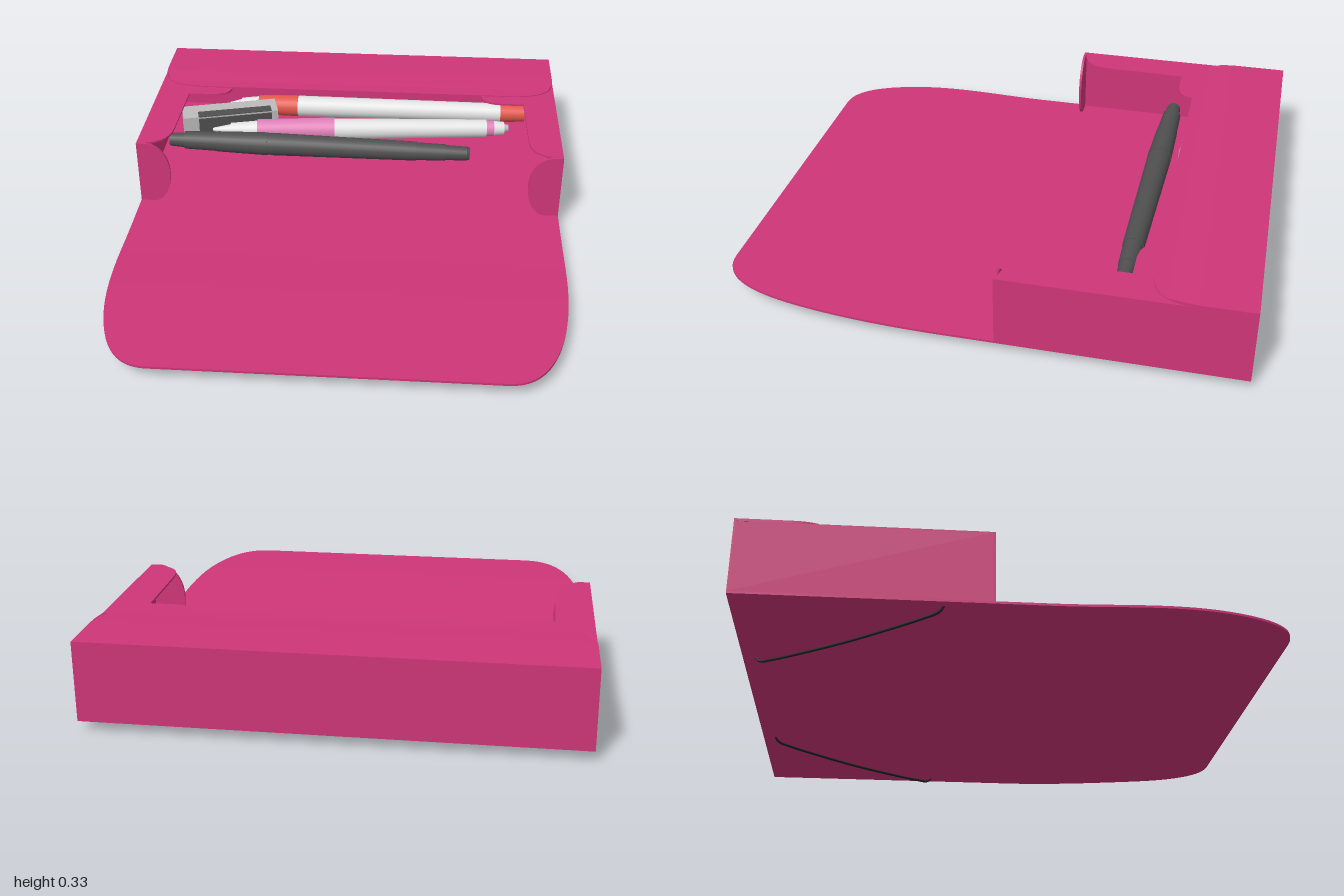
import * as THREE from 'three';

const mat = (name, color, double = false) => {
  const m = new THREE.MeshStandardMaterial({ color });
  m.name = name;
  if (double) m.side = THREE.DoubleSide;
  return m;
};

export function createModel() {
  const root = new THREE.Group();
  root.name = 'pencilCase';
  const fabric = mat('magenta fabric', 0xcf3678);
  const elastic = mat('black elastic', 0x1a2224);
  const charcoal = mat('charcoal', 0x505050);
  const white = mat('white plastic', 0xe2e2e2);
  const pink = mat('pink grip', 0xdf7fb8);
  const red = mat('red grip', 0xe2584c);
  const grey = mat('light grey metal', 0xbcbcbc);

  const add = (name, geo, material, parent = root) => {
    const m = new THREE.Mesh(geo, material);
    m.name = name;
    parent.add(m);
    return m;
  };
  const box = (name, w, h, d, x, y, z, material = fabric, parent = root) => {
    const m = add(name, new THREE.BoxGeometry(w, h, d), material, parent);
    m.position.set(x, y, z);
    return m;
  };

  const W = 0.885;

  // Base sheet running into the open flap, with rounded corners and a lifted lip
  const sheet = new THREE.BoxGeometry(2, 1, 1, 6, 1, 64);
  const p = sheet.attributes.position;
  for (let i = 0; i < p.count; i++) {
    const t = p.getZ(i) + 0.5;
    const z = -1 + 2 * Math.sin(t * Math.PI / 2);
    const u = Math.min(1, Math.max(0, (z - 0.25) / 0.75));
    const w = 0.62 + (W - 0.62) * Math.pow(Math.max(0, 1 - Math.pow(u, 2.5)), 0.4);
    const s = Math.min(1, Math.max(0, (z - 0.1) / 0.6));
    const lift = 0.016 * s * s * (3 - 2 * s);
    p.setXYZ(i, p.getX(i) * w, 0.0465 + lift + p.getY(i) * 0.009, z);
  }
  sheet.computeVertexNormals();
  add('baseAndFlap', sheet, fabric);

  // Back and side walls
  box('backWall', 2 * W, 0.28, 0.01, 0, 0.19, -0.995);
  for (const s of [-1, 1]) {
    box('sideWall', 0.01, 0.276, 0.9, s * (W - 0.005), 0.188, -0.55);
  }

  // Flat panel from a plan outline (x, z), lying between two heights
  const panel = (name, shape, y, thickness) => {
    const g = new THREE.ExtrudeGeometry(shape, { depth: thickness, bevelEnabled: false, curveSegments: 12 });
    g.rotateX(Math.PI / 2).translate(0, y, 0);
    return add(name, g, fabric);
  };

  // Rear top panel with rounded front corners
  const rear = new THREE.Shape();
  rear.moveTo(-W, -1);
  rear.lineTo(W, -1);
  rear.lineTo(W, -0.8);
  rear.bezierCurveTo(W, -0.66, 0.82, -0.625, 0.66, -0.625);
  rear.lineTo(-0.66, -0.625);
  rear.bezierCurveTo(-0.82, -0.625, -W, -0.66, -W, -0.8);
  const rearPanel = panel('rearTopPanel', rear, 0.337, 0.01);
  const rp = rearPanel.geometry.attributes.position;
  for (let i = 0; i < rp.count; i++) {
    if (rp.getZ(i) > -0.7) rp.setY(i, rp.getY(i) - 0.006);
  }
  rearPanel.geometry.computeVertexNormals();

  for (const s of [-1, 1]) {
    // Side strip of the top with its curved cutout
    const strip = new THREE.Shape();
    strip.moveTo(s * W, -0.95);
    strip.lineTo(s * W, -0.1);
    strip.bezierCurveTo(s * 0.78, -0.115, s * 0.75, -0.15, s * 0.75, -0.25);
    strip.lineTo(s * 0.745, -0.558);
    strip.lineTo(s * 0.66, -0.558);
    strip.bezierCurveTo(s * 0.59, -0.56, s * 0.56, -0.58, s * 0.56, -0.63);
    strip.lineTo(s * 0.56, -0.95);
    panel('sideTopStrip', strip, 0.327, 0.008);

    // Rounded front tab
    const tab = new THREE.Shape();
    tab.moveTo(s * W, 0.05);
    tab.lineTo(s * W, 0.327);
    tab.lineTo(s * 0.84, 0.327);
    tab.bezierCurveTo(s * 0.78, 0.315, s * 0.75, 0.26, s * 0.75, 0.19);
    tab.bezierCurveTo(s * 0.75, 0.12, s * 0.775, 0.065, s * 0.82, 0.05);
    const tg = new THREE.ExtrudeGeometry(tab, { depth: 0.01, bevelEnabled: false, curveSegments: 12 });
    add('frontTab', tg.translate(0, 0, -0.104), fabric);

    // Diagonal elastic corner strap underneath
    const a = new THREE.Vector3(s * 0.85, 0.044, -0.27);
    const b = new THREE.Vector3(s * 0.39, 0.044, -0.95);
    const pts = [[0, 0], [0.02, 0.018], [0.1, 0.026], [0.3, 0.033], [0.5, 0.036],
      [0.7, 0.033], [0.9, 0.026], [0.98, 0.018], [1, 0]].map(([t, drop]) => {
      const v = a.clone().lerp(b, t);
      v.y -= drop;
      return v;
    });
    add('elasticStrap', new THREE.TubeGeometry(new THREE.CatmullRomCurve3(pts), 48, 0.005, 8), elastic);
  }

  // Pen made of round sections [end fraction, start radius, end radius, material]
  const pen = (name, from, to, sections) => {
    const g = new THREE.Group();
    g.name = name;
    const a = new THREE.Vector3(...from);
    const dir = new THREE.Vector3(...to).sub(a);
    const len = dir.length();
    let t = 0;
    for (const [end, r0, r1, material] of sections) {
      const h = (end - t) * len;
      const m = add(name + 'Section', new THREE.CylinderGeometry(r1, r0, h, 24), material, g);
      m.position.y = t * len + h / 2;
      t = end;
    }
    g.position.copy(a);
    g.quaternion.setFromUnitVectors(new THREE.Vector3(0, 1, 0), dir.normalize());
    root.add(g);
    return g;
  };

  pen('darkPen', [-0.84, 0.105, -0.527], [0.52, 0.102, -0.497], [
    [0.05, 0.03, 0.034, charcoal],
    [0.16, 0.04, 0.044, charcoal],
    [0.33, 0.046, 0.052, charcoal],
    [0.34, 0.049, 0.049, charcoal],
    [0.825, 0.051, 0.043, charcoal],
    [0.92, 0.04, 0.037, charcoal],
    [0.99, 0.034, 0.031, charcoal],
    [1, 0.031, 0.026, charcoal],
  ]);
  pen('pinkPen', [-0.66, 0.11, -0.622], [0.7, 0.108, -0.735], [
    [0.06, 0.008, 0.024, white],
    [0.15, 0.03, 0.04, white],
    [0.41, 0.046, 0.053, pink],
    [0.925, 0.049, 0.041, white],
    [0.95, 0.037, 0.037, pink],
    [0.985, 0.034, 0.03, white],
    [1, 0.02, 0.016, grey],
  ]);
  pen('redPen', [-0.62, 0.105, -0.89], [0.78, 0.115, -0.87], [
    [0.04, 0.008, 0.024, white],
    [0.1, 0.03, 0.04, white],
    [0.235, 0.046, 0.05, red],
    [0.92, 0.049, 0.044, white],
    [1, 0.044, 0.038, red],
  ]);

  // Metal block with a dark insert along its front and top
  const block = new THREE.Group();
  block.name = 'metalBlock';
  block.position.set(-0.6, 0.105, -0.745);
  block.rotation.y = 0.26;
  box('blockBody', 0.44, 0.1, 0.12, 0, 0, 0, grey, block);
  box('blockInsert', 0.34, 0.075, 0.008, 0.02, 0.005, 0.061, charcoal, block);
  box('blockTopInsert', 0.34, 0.006, 0.05, 0.02, 0.05, 0.035, charcoal, block);
  root.add(block);

  return root;
}
